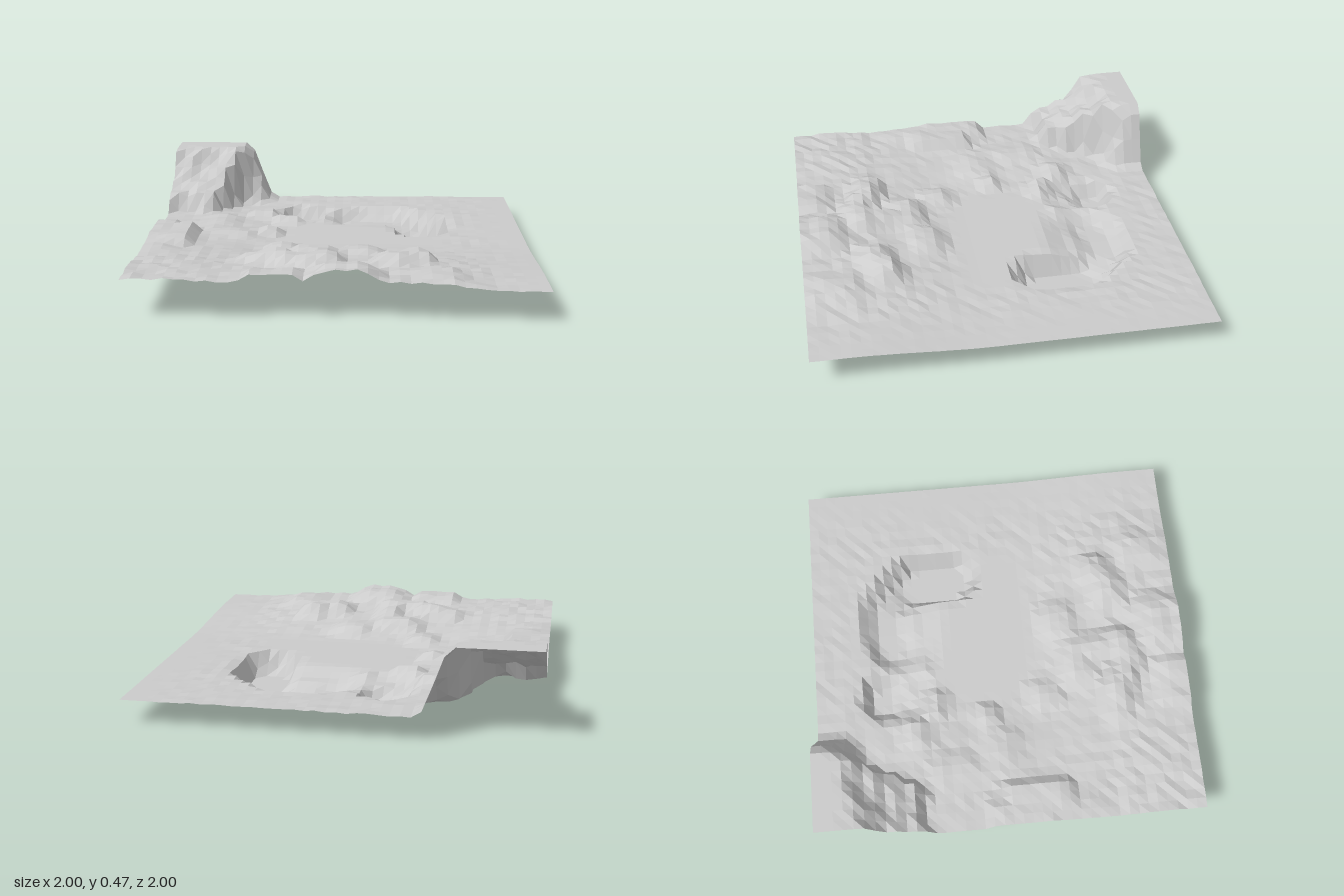
import * as THREE from 'three';

const CELLS = 40;
const lerp = THREE.MathUtils.lerp;
const ramp = (v, a, b) => THREE.MathUtils.smoothstep(v, a, b);

// Repeatable jitter for a grid point, -1 to 1
function jitter(x, z) {
  const s = Math.sin(Math.round(x * 20) * 127.1 + Math.round(z * 20) * 311.7) * 43758.5453;
  return 2 * (s - Math.floor(s)) - 1;
}

// Rectangular feature: [x0, x1, z0, z1, height, falloff]
function applyBox(y, x, z, [x0, x1, z0, z1, h, f]) {
  const dx = Math.max(x0 - x, 0, x - x1);
  const dz = Math.max(z0 - z, 0, z - z1);
  return lerp(y, h, 1 - ramp(Math.hypot(dx, dz), 0, f));
}

// Feature along a path of [x, z, height] with radius r and falloff f
function applyPath(y, x, z, { points, r, f }) {
  let best = Infinity, h = 0;
  for (let i = 0; i < points.length - 1; i++) {
    const [ax, az, ah] = points[i], [bx, bz, bh] = points[i + 1];
    const ux = bx - ax, uz = bz - az;
    const t = THREE.MathUtils.clamp(((x - ax) * ux + (z - az) * uz) / (ux * ux + uz * uz), 0, 1);
    const d = Math.hypot(x - ax - ux * t, z - az - uz * t);
    if (d < best) { best = d; h = lerp(ah, bh, t); }
  }
  return lerp(y, h, 1 - ramp(best, r, r + f));
}

// Low mounds and rock ledges
const mounds = [
  [-1, -0.94, 0.25, 0.4, 0.2, 0.18],
  [-0.92, -0.8, 0.0, 0.28, 0.222, 0.07],
  [-1, -0.9, -0.08, 0.2, 0.216, 0.08],
  [-0.65, -0.55, -0.05, 0.0, 0.175, 0.14],
  [-0.7, -0.65, -0.35, -0.2, 0.175, 0.1],
  [-0.42, -0.37, -0.1, -0.07, 0.18, 0.07],
  [-0.5, -0.4, -0.5, -0.45, 0.17, 0.08],
  [-0.35, -0.25, -0.38, -0.34, 0.17, 0.07],
  [-0.1, -0.03, -0.45, -0.42, 0.155, 0.07],
  [-0.32, -0.27, 0.2, 0.27, 0.17, 0.09],
  [-0.2, -0.05, 0.4, 0.45, 0.21, 0.12],
  [0.08, 0.15, 0.32, 0.38, 0.19, 0.12],
  [0.23, 0.3, 0.6, 0.66, 0.235, 0.1],
  [0.36, 0.42, 0.55, 0.6, 0.24, 0.09],
  [0.46, 0.52, 0.8, 0.9, 0.215, 0.1],
  [-0.04, 0.12, 0.85, 1, 0.255, 0.14],
  [-0.4, -0.2, 0.88, 1, 0.235, 0.07],
];

// Rock ridge with a steep face toward the front
const ridge = {
  points: [[-0.42, 0.61, 0.225], [-0.3, 0.62, 0.25], [-0.15, 0.7, 0.24], [-0.05, 0.66, 0.25], [-0.07, 0.55, 0.225]],
  r: 0.035, f: 0.08,
};

// Sunken crescent with its shallow inner slope, and the smaller pit
const hollows = [
  { points: [[0.06, -0.5, 0.09], [0.28, -0.48, 0.09]], r: 0.06, f: 0.16 },
  { points: [[0.06, -0.57, 0.055], [0.14, -0.6, 0.055], [0.29, -0.6, 0.05], [0.41, -0.5, 0.02], [0.45, -0.4, 0.01]], r: 0.06, f: 0.085 },
  { points: [[0.45, -0.4, 0.005], [0.45, -0.22, 0.005]], r: 0.1, f: 0.06 },
  { points: [[-0.24, -0.55, 0.08], [-0.2, -0.5, 0.105]], r: 0.05, f: 0.12 },
  { points: [[-0.25, -0.65, 0.035], [-0.2, -0.64, 0.035]], r: 0.06, f: 0.06 },
];

// Stepped cliff rising to the flat corner top
const terraces = [
  [-1, -0.75, -1, -0.5, 0.265, 0.06],
  [-1, -0.71, -1, -0.61, 0.31, 0.07],
  [-1, -0.67, -1, -0.72, 0.375, 0.08],
  [-1, -0.59, -1, -0.91, 0.47, 0.17],
  [-1, -0.65, -1, -0.85, 0.47, 0.11],
  [-1, -0.93, -1, -0.76, 0.465, 0.07],
];

function height(x, z) {
  // Ground rising gently toward the front and the left side
  const toFront = ramp(z, 0.1, 0.85);
  const toLeft = 1 - ramp(x, -0.75, -0.3);
  let y = 0.129 + toFront * lerp(0.066, 0.031, ramp(x, 0.45, 0.8));
  y += 0.03 * toLeft * (1 - 0.6 * toFront) * ramp(z, -0.7, -0.4);

  // Slight roughness, leaving the central basin and outer side smooth
  const basin = applyBox(0, x, z, [-0.25, 0.5, -0.3, 0.15, 1, 0.12]);
  const calm = Math.max(basin, ramp(x, 0.65, 0.95) * 0.9);
  const rough = jitter(x, z) * (1 - calm) * lerp(0.004, 0.008, toFront);

  for (const m of mounds) y = applyBox(y, x, z, m);
  y = applyPath(y, x, z, ridge) + rough;
  for (const p of hollows) y = applyPath(y, x, z, p);
  for (const t of terraces) {
    // Broken cliff outline
    const shift = 0.02 * Math.sin(x * 31 + t[4] * 40) + 0.01 * jitter(x, z);
    y = Math.max(y, applyBox(y, x, z + shift, t));
  }
  return y;
}

export function createModel() {
  const group = new THREE.Group();
  group.name = 'terrain';

  // Square sheet of ground shaped by the height rule
  const geometry = new THREE.PlaneGeometry(2, 2, CELLS, CELLS).rotateX(-Math.PI / 2);
  const pos = geometry.attributes.position;
  for (let i = 0; i < pos.count; i++) pos.setY(i, height(pos.getX(i), pos.getZ(i)));
  geometry.computeVertexNormals();

  const material = new THREE.MeshStandardMaterial({
    color: 0xcccccc, flatShading: true, side: THREE.DoubleSide,
  });
  const ground = new THREE.Mesh(geometry, material);
  ground.name = 'ground';
  group.add(ground);
  return group;
}
